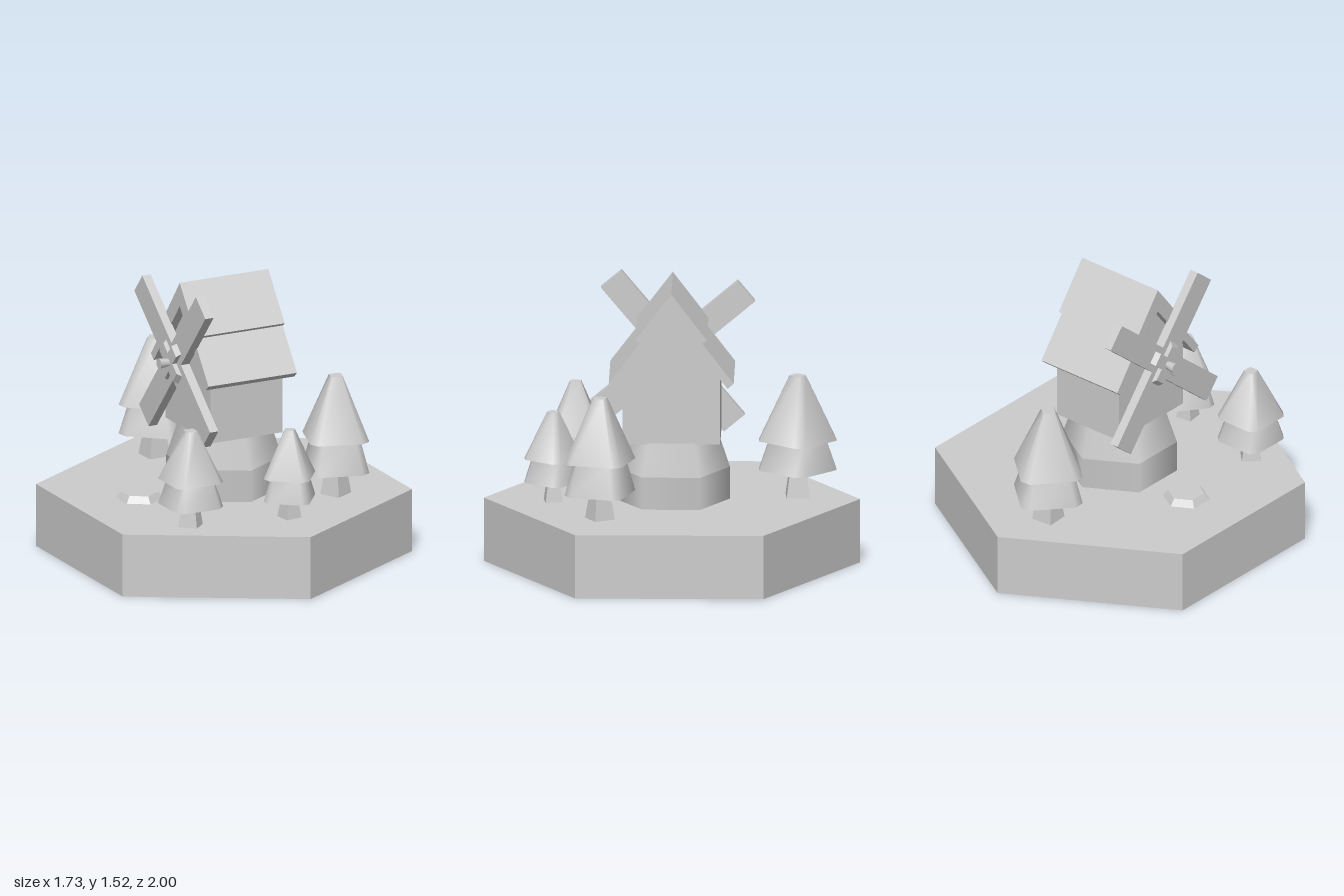
import * as THREE from 'three';
import { toCreasedNormals } from 'three/addons/utils/BufferGeometryUtils.js';

const GROUND = 0.345;
const flat = new THREE.MeshStandardMaterial({ color: 0xcccccc, flatShading: true });
const smooth = new THREE.MeshStandardMaterial({ color: 0xcccccc });

function add(parent, name, geometry, material = flat, x = 0, y = 0, z = 0) {
  const mesh = new THREE.Mesh(geometry, material);
  mesh.name = name;
  mesh.position.set(x, y, z);
  parent.add(mesh);
  return mesh;
}

// Outline in (z, y), extruded along x and centred on x = 0
function prism(points, length) {
  const shape = new THREE.Shape(points.map(([u, v]) => new THREE.Vector2(u, v)));
  return new THREE.ExtrudeGeometry(shape, { depth: length, bevelEnabled: false })
    .translate(0, 0, -length / 2)
    .rotateY(Math.PI / 2);
}

// Symmetric roof cover: outer ridge, outer eave, inner eave, inner ridge
function chevron(outerRidge, [ez, ey], [iz, iy], innerRidge, length) {
  return prism([[0, outerRidge], [-ez, ey], [-iz, iy], [0, innerRidge], [iz, iy], [ez, ey]], length);
}

// Foliage tier: a tapered square with chamfered corners, softly shaded
function tierGeometry(topRadius, bottomRadius, y0, y1) {
  const geo = new THREE.CylinderGeometry(topRadius, bottomRadius, y1 - y0, 8, 1, false, Math.PI / 8);
  const p = geo.attributes.position;
  for (let i = 0; i < p.count; i++) {
    const r = Math.hypot(p.getX(i), p.getZ(i));
    if (r < 1e-6) continue;
    const a = Math.atan2(p.getZ(i), p.getX(i));
    const corner = (Math.floor(a / (Math.PI / 2)) + 0.5) * Math.PI / 2;
    const b = corner + (a - corner) * 0.36;
    p.setX(i, r * Math.cos(b));
    p.setZ(i, r * Math.sin(b));
  }
  geo.translate(0, (y0 + y1) / 2, 0);
  return toCreasedNormals(geo, 1.0);
}

function makeTree(x, z, radius, hem, middle, top, cornerAngle) {
  const tree = new THREE.Group();
  tree.name = 'tree';
  const trunkHeight = hem - GROUND + 0.02;
  add(tree, 'trunk', new THREE.CylinderGeometry(radius * 0.27, radius * 0.42, trunkHeight, 4),
    flat, 0, GROUND + trunkHeight / 2, 0);
  add(tree, 'lowerFoliage', tierGeometry(radius * 0.72, radius, hem, middle + 0.01), smooth);
  add(tree, 'upperFoliage', tierGeometry(radius * 0.21, radius, middle, top), smooth);
  tree.position.set(x, 0, z);
  tree.rotation.y = THREE.MathUtils.degToRad(45 - cornerAngle);
  return tree;
}

function makeSails() {
  const sails = new THREE.Group();
  sails.name = 'sails';
  // Crossed blades with a smaller bevelled cross in front
  for (const turn of [0, Math.PI / 2]) {
    const angle = 0.697 + turn;
    add(sails, 'blade', new THREE.BoxGeometry(0.05, 1.02, 0.143)).rotation.x = angle;
    const brace = new THREE.BoxGeometry(0.03, 0.25, 0.07);
    const p = brace.attributes.position;
    for (let i = 0; i < p.count; i++) if (p.getX(i) < 0) p.setY(i, p.getY(i) * 0.8);
    add(sails, 'hubBrace', brace, flat, -0.035, 0, 0).rotation.x = angle;
  }
  const axle = new THREE.CylinderGeometry(0.022, 0.022, 0.16, 8).rotateZ(Math.PI / 2);
  add(sails, 'axle', axle, smooth, 0.01, 0, 0);
  const knob = new THREE.CylinderGeometry(0.03, 0.022, 0.055, 8).rotateZ(Math.PI / 2);
  add(sails, 'hubKnob', toCreasedNormals(knob, 1), smooth, -0.0775, 0, 0);
  sails.position.set(-0.285, 1.087, 0);
  return sails;
}

function makeMill() {
  const mill = new THREE.Group();
  mill.name = 'windmill';
  // Hexagonal plinth with a sloped shoulder
  add(mill, 'plinth', new THREE.CylinderGeometry(0.308, 0.308, 0.175, 6), smooth, 0, 0.4325, 0);
  add(mill, 'plinthShoulder', new THREE.CylinderGeometry(0.25, 0.308, 0.175, 6), smooth, 0, 0.6075, 0);
  // Gabled body and two overlapping roof layers
  add(mill, 'body', prism(
    [[-0.26, 0.69], [0.26, 0.69], [0.26, 1.055], [0, 1.392], [-0.26, 1.055]], 0.433));
  add(mill, 'lowerRoof', chevron(1.469, [0.332, 1.034], [0.3, 1.005], 1.39, 0.53));
  add(mill, 'upperRoof', chevron(1.52, [0.19, 1.27], [0.166, 1.252], 1.469, 0.53));
  mill.add(makeSails());
  return mill;
}

export function createModel() {
  const model = new THREE.Group();
  model.name = 'windmillTile';

  add(model, 'baseTile', new THREE.CylinderGeometry(1, 1, GROUND, 6), flat, 0, GROUND / 2, 0);
  model.add(makeMill());
  add(model, 'stone', new THREE.CylinderGeometry(0.1, 0.127, 0.037, 6), flat, -0.49, GROUND + 0.0185, -0.03);

  // x, z, radius, hem, middle, top, corner angle in degrees
  const trees = [
    [0.475, 0.375, 0.199, 0.485, 0.66, 1.003, 62],
    [-0.07, -0.667, 0.208, 0.49, 0.65, 1.003, -4],
    [0.065, 0.63, 0.154, 0.45, 0.577, 0.832, -8],
    [-0.47, 0.52, 0.175, 0.46, 0.597, 0.873, 45],
  ];
  for (const t of trees) model.add(makeTree(...t));
  return model;
}
